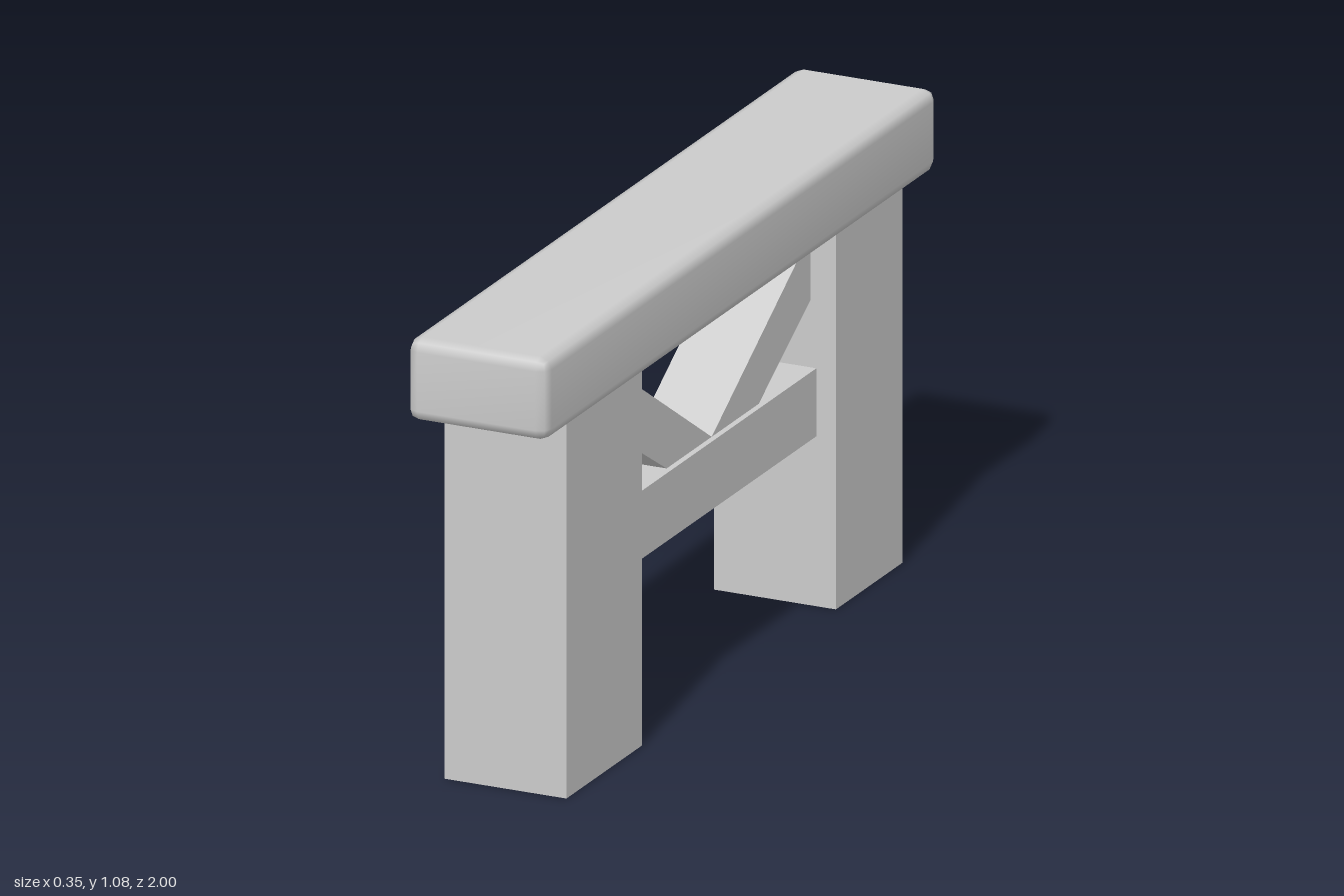
import * as THREE from 'three';
import { mergeVertices } from 'three/addons/utils/BufferGeometryUtils.js';

const flat = new THREE.MeshStandardMaterial({ color: 0xcccccc, flatShading: true, side: THREE.DoubleSide });
const smooth = new THREE.MeshStandardMaterial({ color: 0xcccccc });

// Box with softly bevelled edges and normals shared across all faces
function bevelledBox(w, h, d, r) {
  const g = new THREE.BoxGeometry(1, 1, 1, 3, 3, 3);
  const half = new THREE.Vector3(w, h, d).multiplyScalar(0.5);
  const limit = half.clone().subScalar(r);
  const pos = g.attributes.position;
  const p = new THREE.Vector3();
  const inner = new THREE.Vector3();
  for (let i = 0; i < pos.count; i++) {
    p.fromBufferAttribute(pos, i);
    for (const a of ['x', 'y', 'z']) {
      inner[a] = Math.sign(p[a]) * limit[a];
      p[a] = Math.abs(p[a]) > 0.4 ? Math.sign(p[a]) : 0;
    }
    p.normalize().multiplyScalar(r).add(inner);
    pos.setXYZ(i, p.x, p.y, p.z);
  }
  g.deleteAttribute('normal');
  g.deleteAttribute('uv');
  const merged = mergeVertices(g, 1e-4);
  merged.computeVertexNormals();
  return merged;
}

// Four-sided tube, open at top and bottom
function openPost(w, h, d) {
  const g = new THREE.BoxGeometry(w, h, d);
  const index = Array.from(g.index.array);
  index.splice(12, 12);
  g.setIndex(index);
  g.clearGroups();
  return g;
}

// Side outline given as [z, y] points, extruded across x
function sidePanel(points, width) {
  const shape = new THREE.Shape(points.map(([z, y]) => new THREE.Vector2(-z, y)));
  const g = new THREE.ExtrudeGeometry(shape, { depth: width, bevelEnabled: false });
  g.translate(0, 0, -width / 2);
  g.rotateY(Math.PI / 2);
  return g;
}

export function createModel() {
  const model = new THREE.Group();
  model.name = 'bench';
  const add = (name, geometry, material, y = 0, z = 0) => {
    const mesh = new THREE.Mesh(geometry, material);
    mesh.name = name;
    mesh.position.set(0, y, z);
    model.add(mesh);
  };

  const seatBottom = 0.885;
  const seatTop = 1.08;

  // Seat plank
  add('seat', bevelledBox(0.346, seatTop - seatBottom, 2, 0.028), smooth, (seatBottom + seatTop) / 2);

  // Hollow legs, the front one slightly deeper
  for (const [name, z0, z1] of [['frontLeg', 0.465, 0.85], ['backLeg', -0.865, -0.525]]) {
    add(name, openPost(0.3, seatBottom, z1 - z0), flat, seatBottom / 2, (z0 + z1) / 2);
  }

  // Stretcher between the legs
  add('stretcher', new THREE.BoxGeometry(0.204, 0.16, 0.99), flat, 0.48, -0.03);

  // Diagonal braces rising from the middle of the stretcher to each leg
  add('frontBrace', sidePanel([[0.465, 0.87], [-0.02, 0.56], [0.21, 0.56], [0.465, 0.715]], 0.176), flat);
  add('backBrace', sidePanel([[-0.525, 0.875], [-0.02, 0.56], [-0.26, 0.56], [-0.525, 0.72]], 0.176), flat);

  return model;
}
